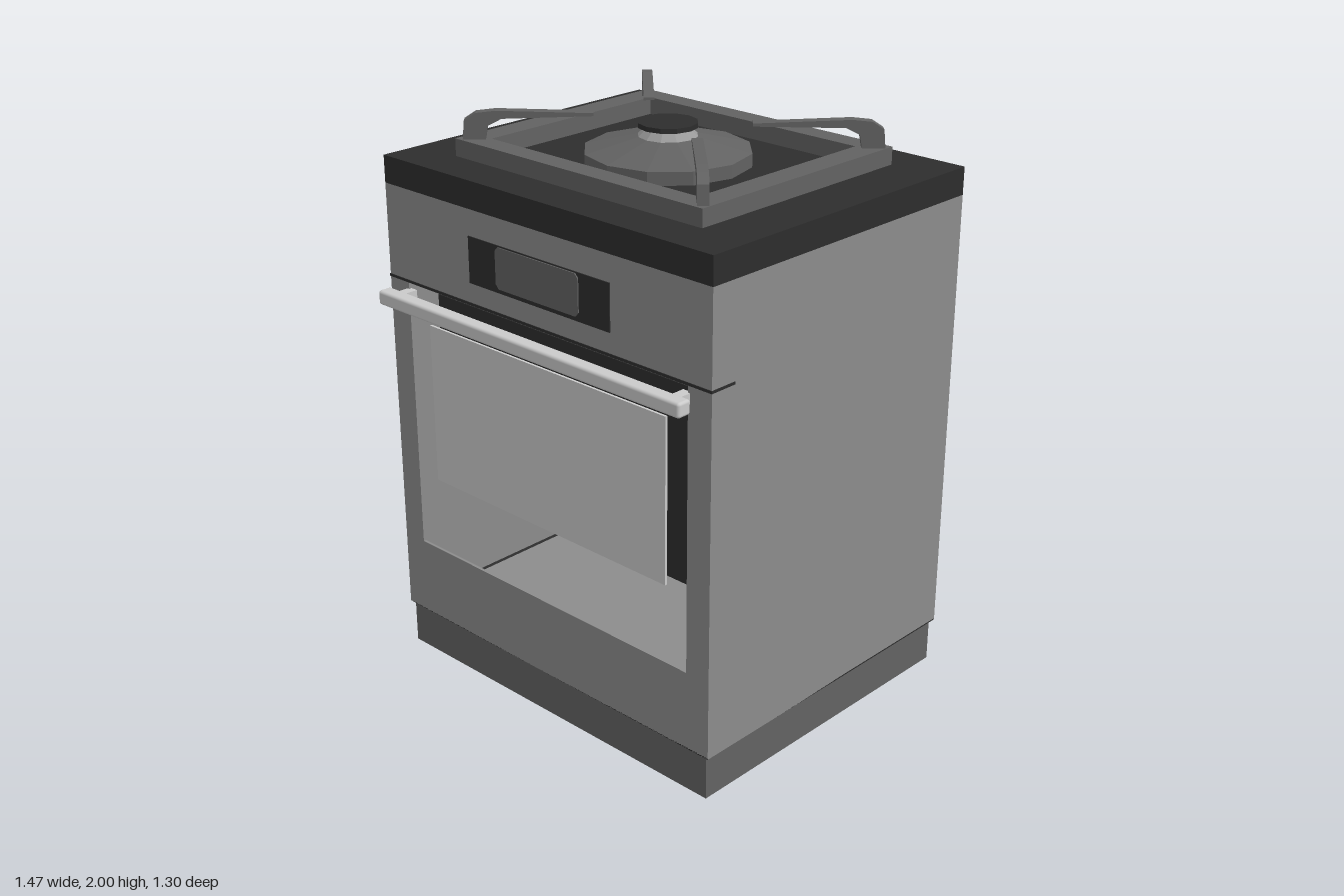
import * as THREE from 'three';
import { RoundedBoxGeometry } from 'three/addons/geometries/RoundedBoxGeometry.js';

const mat = (name, color) => {
  const m = new THREE.MeshStandardMaterial({ color });
  m.name = name;
  return m;
};

export function createModel() {
  const root = new THREE.Group();
  root.name = 'stove';
  const body = mat('body grey', 0x8c8c8c);
  const dark = mat('black enamel', 0x2d2d2d);
  const iron = mat('dark grey iron', 0x626262);
  const light = mat('light steel', 0xcacaca);
  const burnerSteel = mat('burner steel', 0x9a9a9a);
  for (const m of [iron, burnerSteel]) m.side = THREE.DoubleSide;

  const add = (name, geo, material, parent = root) => {
    const mesh = new THREE.Mesh(geo, material);
    mesh.name = name;
    parent.add(mesh);
    return mesh;
  };
  // Box given by its minimum and maximum on each axis
  const box = (name, material, x0, x1, y0, y1, z0, z1) =>
    add(name, new THREE.BoxGeometry(x1 - x0, y1 - y0, z1 - z0), material)
      .position.set((x0 + x1) / 2, (y0 + y1) / 2, (z0 + z1) / 2);
  const outline = (pts, Kind = THREE.Shape) => new Kind(pts.map(p => new THREE.Vector2(...p)));
  const rect = (x0, x1, y0, y1, Kind) => outline([[x0, y0], [x1, y0], [x1, y1], [x0, y1]], Kind);
  const plate = (shape, depth) => new THREE.ExtrudeGeometry(shape, { depth, bevelEnabled: false });

  // Plinth and hollow cabinet
  box('plinth', iron, -0.72, 0.72, 0, 0.16, -0.64, 0.55);
  box('cabinetBase', dark, -0.735, 0.735, 0.16, 0.165, -0.65, 0.56);
  box('cabinetFloor', body, -0.66, 0.66, 0.165, 0.2, -0.64, 0.55);
  box('backPanel', body, -0.735, 0.735, 0.16, 1.75, -0.65, -0.64);
  for (const s of [-1, 1]) {
    const a = s * 0.735, b = s * 0.725;
    box('sidePanel', body, Math.min(a, b), Math.max(a, b), 0.16, 1.75, -0.64, 0.55);
  }
  const front = rect(-0.735, 0.735, 0.16, 1.75);
  front.holes.push(rect(-0.64, 0.64, 0.44, 1.42, THREE.Path));
  add('frontPanel', plate(front, 0.01), body).position.z = 0.55;
  box('panelSeam', dark, -0.737, 0.737, 1.422, 1.431, 0.46, 0.563);
  box('worktop', dark, -0.735, 0.735, 1.75, 1.845, -0.65, 0.56);

  // Oven window with the dark surround set behind it
  const surround = outline([[-0.57, 0.68], [0.57, 0.68], [0.61, 0.72], [0.61, 1.36], [-0.61, 1.36], [-0.61, 0.72]]);
  add('windowSurround', plate(surround, 0.03), dark).position.z = 0.43;
  box('ovenWindow', light, -0.545, 0.545, 0.715, 1.29, 0.547, 0.556);

  // Control panel
  box('controlPanel', dark, -0.32, 0.32, 1.5, 1.66, 0.56, 0.564);
  const display = outline([[-0.175, 1.515], [0.175, 1.515], [0.188, 1.53], [0.188, 1.642],
    [0.175, 1.656], [-0.175, 1.656], [-0.188, 1.642], [-0.188, 1.53]]);
  add('display', plate(display, 0.004), iron).position.z = 0.564;

  // Handle
  add('handleBar', new RoundedBoxGeometry(1.38, 0.05, 0.053, 2, 0.01), light).position.set(0, 1.38, 0.627);
  for (const s of [-1, 1])
    box('handleBracket', light, s * 0.63 - 0.018, s * 0.63 + 0.018, 1.362, 1.398, 0.55, 0.61);

  // Grate frame
  const frame = rect(-0.55, 0.55, -0.455, 0.455);
  frame.holes.push(rect(-0.46, 0.46, -0.375, 0.375, THREE.Path));
  const grate = add('grateFrame', plate(frame, 0.06), iron);
  grate.rotation.x = -Math.PI / 2;
  grate.position.set(0, 1.845, -0.05);

  // Four bent grate arms, pointing inward on the diagonals
  const armShape = outline([[0, 1.895], [0.075, 1.895], [0.085, 1.95], [0.13, 1.973], [0.43, 1.98],
    [0.43, 1.99], [0.11, 2], [0.045, 1.993], [0.007, 1.968]]);
  const armGeo = plate(armShape, 0.036).translate(0, 0, -0.018);
  for (const sx of [-1, 1]) for (const sz of [-1, 1]) {
    const arm = add('grateArm', armGeo, iron);
    arm.position.set(sx * 0.535, 0, -0.05 + sz * 0.435);
    arm.rotation.y = Math.atan2(sz, -sx);
  }

  // Twelve-sided burner
  const ring = (name, material, rTop, rBottom, y0, y1) => {
    const geo = new THREE.CylinderGeometry(rTop, rBottom, y1 - y0, 12).toNonIndexed();
    geo.computeVertexNormals();
    add(name, geo, material).position.set(0, (y0 + y1) / 2, -0.03);
  };
  ring('burnerRim', iron, 0.28, 0.28, 1.845, 1.89);
  ring('burnerDish', iron, 0.1, 0.28, 1.89, 1.935);
  ring('burnerNeck', burnerSteel, 0.07, 0.1, 1.935, 1.964);
  ring('burnerCap', dark, 0.1, 0.1, 1.964, 1.98);

  return root;
}
